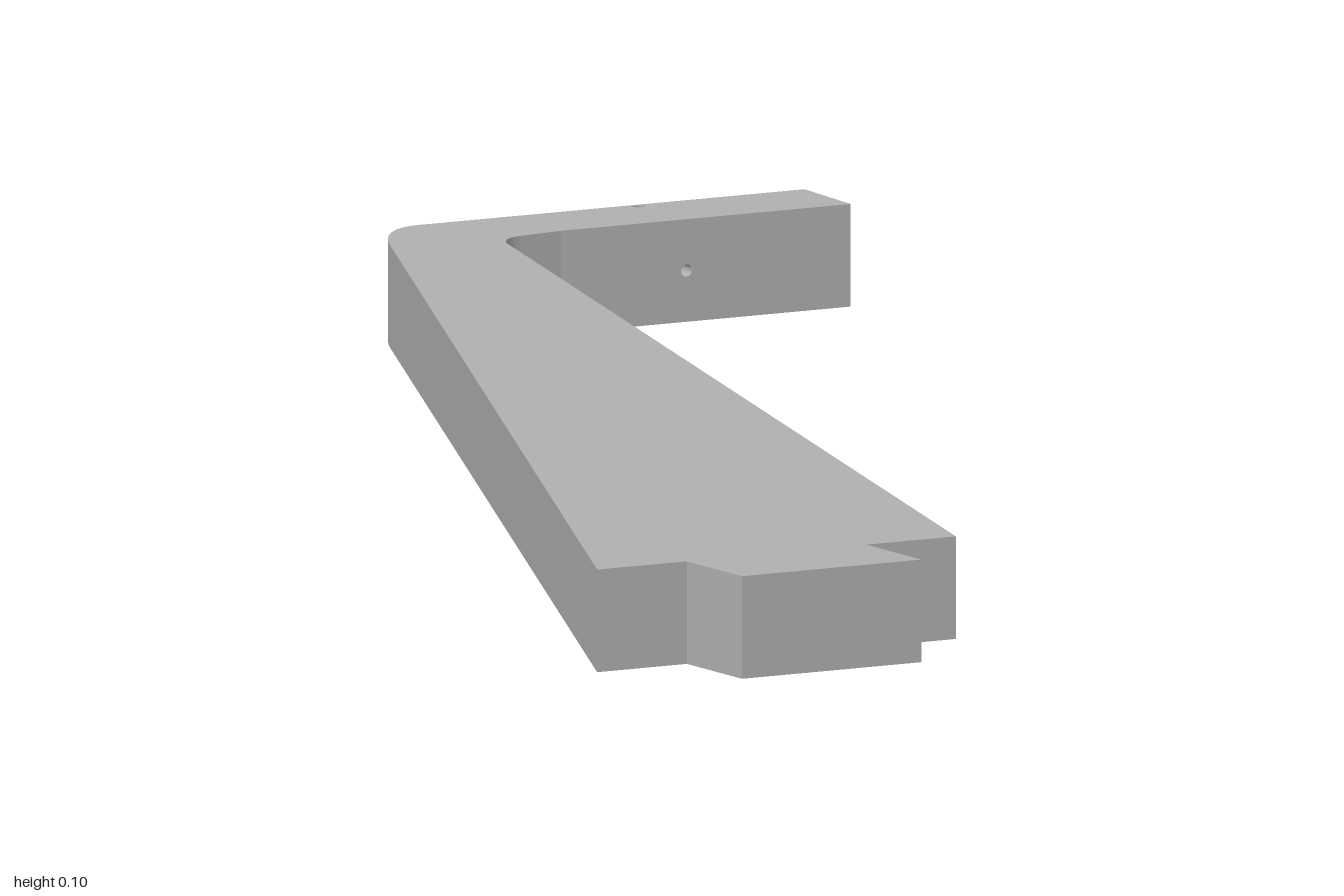
import * as THREE from 'three';

const HEIGHT = 0.1;
const HOLE = { x: 0.48, y: 0.05 };

// Rectangle with an optional round hole
function plate(x0, x1, y0, y1, hx, hy, r) {
  const s = new THREE.Shape();
  s.moveTo(x0, y0).lineTo(x1, y0).lineTo(x1, y1).lineTo(x0, y1).closePath();
  if (r) {
    const hole = new THREE.Path();
    hole.absarc(hx, hy, r, 0, Math.PI * 2, true);
    s.holes.push(hole);
  }
  return s;
}

function extrude(shape, depth) {
  return new THREE.ExtrudeGeometry(shape, { depth, bevelEnabled: false, curveSegments: 12 });
}

export function createModel() {
  const group = new THREE.Group();
  const grey = new THREE.MeshStandardMaterial({ color: 0xb0b0b0 });
  grey.name = 'grey';

  const add = (name, geometry) => {
    const mesh = new THREE.Mesh(geometry, grey);
    mesh.name = name;
    group.add(mesh);
  };
  // Plan shapes use y = -z and are raised upward from height y
  const addPlan = (name, shape, y = 0, height = HEIGHT) =>
    add(name, extrude(shape, height).rotateX(-Math.PI / 2).translate(0, y, 0));
  // Front-facing shapes run from z0 to z1
  const addFront = (name, shape, z0, z1) =>
    add(name, extrude(shape, z1 - z0).translate(0, 0, z0));

  // Tapered beam with end tab and rounded bend
  const beam = new THREE.Shape();
  beam.moveTo(-0.67, -0.895).lineTo(-0.57, -0.895).lineTo(-0.57, -1).lineTo(-0.37, -1)
    .lineTo(-0.37, -0.895).lineTo(-0.27, -0.895).lineTo(0.255, 0.855);
  beam.quadraticCurveTo(0.265, 0.888, 0.29, 0.893);
  beam.lineTo(0.34, 0.9).lineTo(0.43, 0.9).lineTo(0.43, 1).lineTo(0.235, 1);
  beam.quadraticCurveTo(0.195, 0.995, 0.155, 0.91);
  beam.closePath();
  addPlan('beam', beam);

  // Slightly slanted end of the short arm
  const tip = new THREE.Shape();
  tip.moveTo(0.53, 0.9).lineTo(0.663, 0.9).lineTo(0.67, 1).lineTo(0.53, 1).closePath();
  addPlan('armTip', tip);

  // Drilled arm section: narrow through hole, wide recess at the back
  addFront('armFrontWall', plate(0.43, 0.53, 0, HEIGHT, HOLE.x, HOLE.y, 0.006), -0.98, -0.9);
  addFront('armBackRecess', plate(0.43, 0.53, 0, 0.081, HOLE.x, HOLE.y, 0.03), -1, -0.98);

  // Top strip with a pin hole above the recess
  addPlan('armPinHole', plate(0.43, 0.53, 0.98, 1, HOLE.x, 0.99, 0.006), 0.081, HEIGHT - 0.081);

  return group;
}
